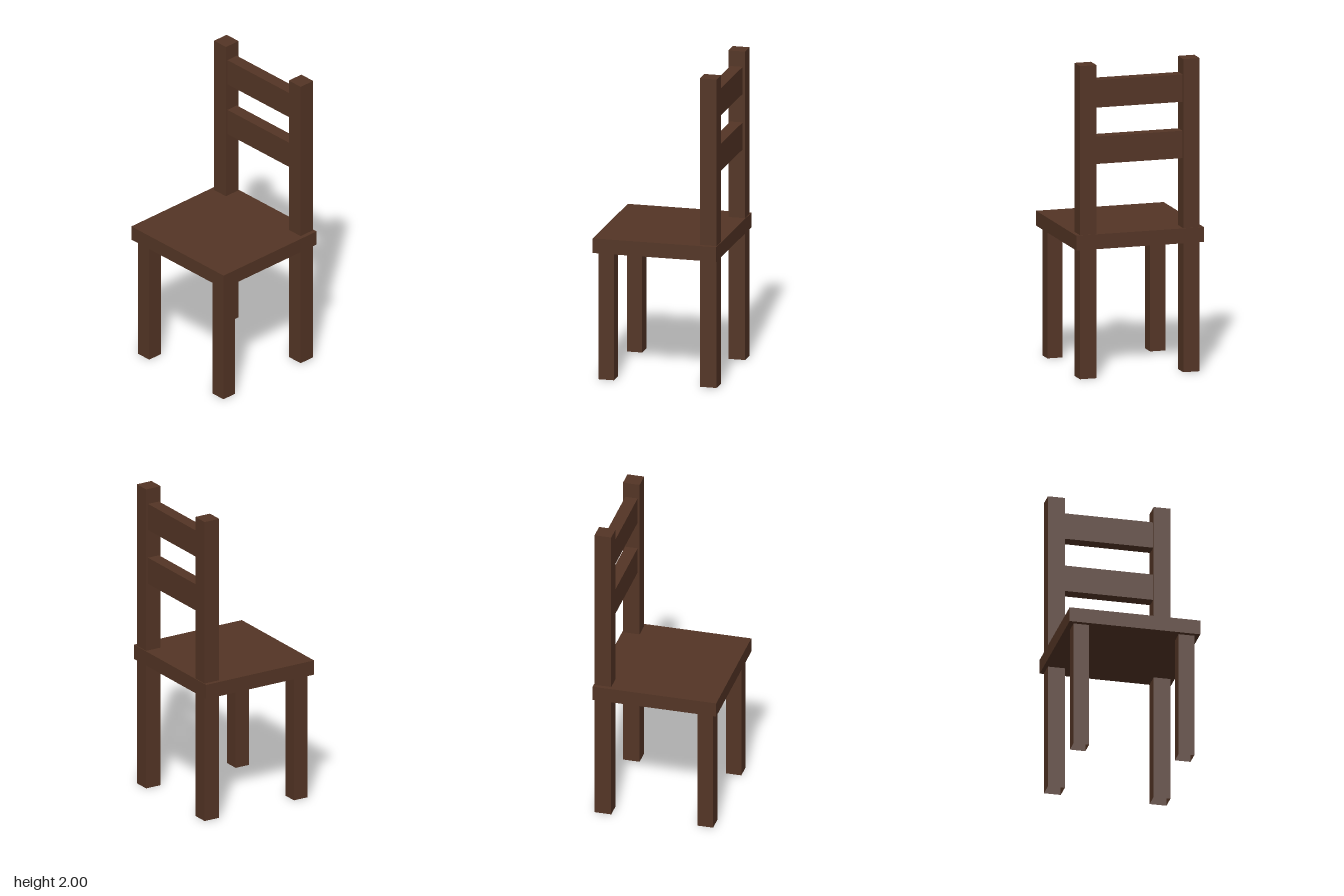
import * as THREE from 'three';

export function createModel() {
  const model = new THREE.Group();
  model.name = 'chair';
  const wood = new THREE.MeshStandardMaterial({ color: 0x543525, side: THREE.DoubleSide });
  wood.name = 'dark brown wood';

  // Box given by its limits on each axis
  function addBox(name, [x0, x1], [y0, y1], [z0, z1], openBottom = false) {
    const geometry = new THREE.BoxGeometry(x1 - x0, y1 - y0, z1 - z0);
    if (openBottom) {
      // Drop the downward face (fourth of six, six indices each)
      const index = Array.from(geometry.index.array);
      index.splice(18, 6);
      geometry.setIndex(index);
      geometry.clearGroups();
    }
    const mesh = new THREE.Mesh(geometry, wood);
    mesh.name = name;
    mesh.position.set((x0 + x1) / 2, (y0 + y1) / 2, (z0 + z1) / 2);
    model.add(mesh);
  }

  // Seat board
  const seatBottom = 0.825, seatTop = 0.92;
  addBox('seat', [-0.42, 0.42], [seatBottom, seatTop], [-0.4, 0.4]);

  // Legs, hollow at the foot; the back pair rises into the backrest posts
  for (const [side, s] of [['left', 1], ['right', -1]]) {
    const span = (inner, outer) => (s > 0 ? [inner, outer] : [-outer, -inner]);
    addBox(`${side}FrontLeg`, span(0.288, 0.388), [0, seatBottom], [0.271, 0.371], true);
    addBox(`${side}BackPost`, span(0.286, 0.394), [0, 2], [-0.395, -0.287], true);
  }

  // Backrest rails between the posts
  addBox('lowerRail', [-0.286, 0.286], [1.365, 1.54], [-0.38, -0.3]);
  addBox('upperRail', [-0.286, 0.286], [1.725, 1.9], [-0.38, -0.3]);

  return model;
}
